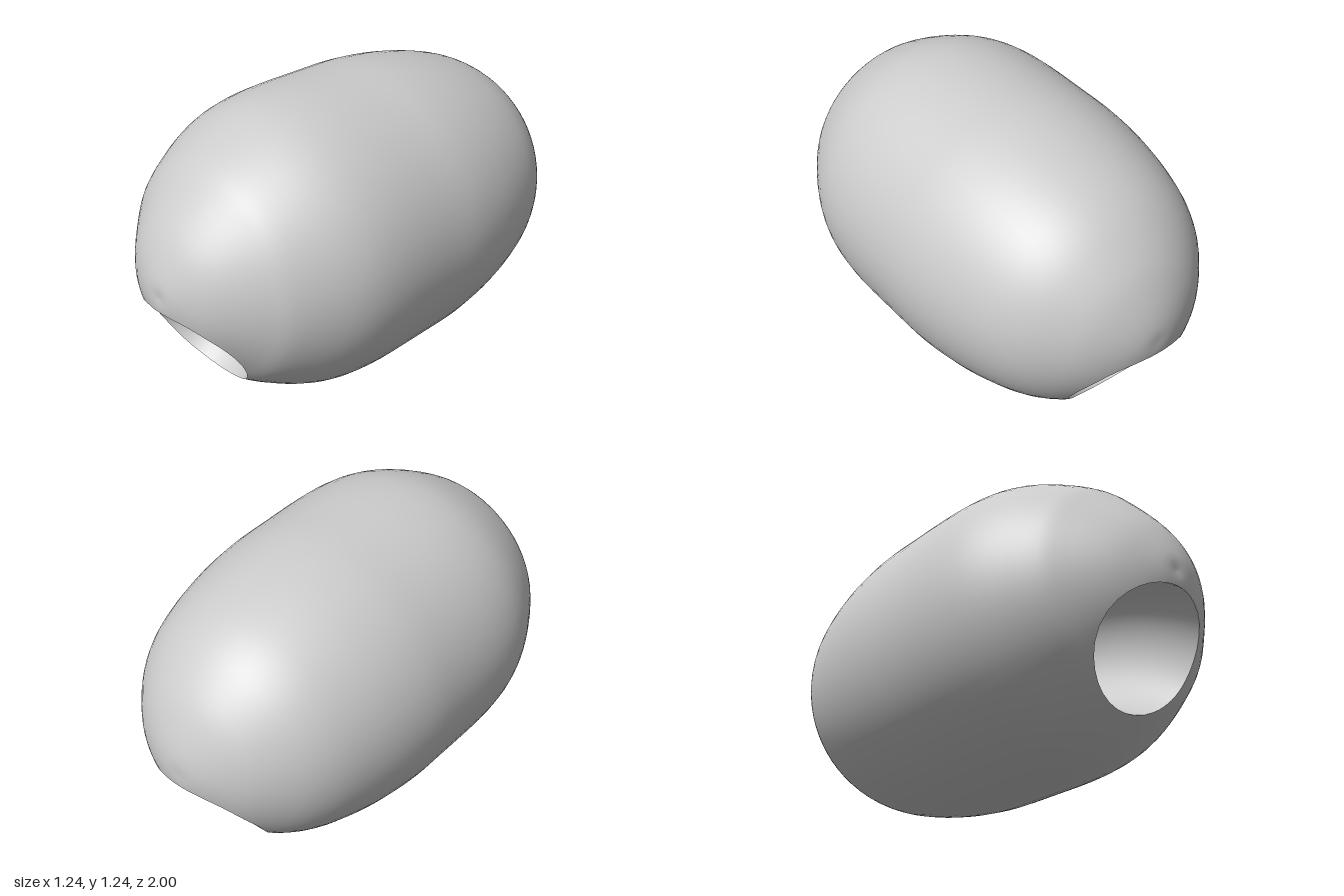
import * as THREE from 'three';
import { ParametricGeometry } from 'three/addons/geometries/ParametricGeometry.js';

const HOLE = 0.255;   // radius of the bored hole
const BEND = 1.457;   // radius of the arc the hole follows
const TILT = 0.022;   // slight lift of the front end

// Half outline of the bead: radius, position along the axis
const outline = new THREE.SplineCurve([
  [0, -1], [0.07, -0.997], [0.17, -0.965], [0.29, -0.9], [0.4, -0.8], [0.475, -0.7],
  [0.53, -0.58], [0.58, -0.4], [0.61, -0.2], [0.617, 0], [0.617, 0.3], [0.58, 0.5],
  [0.48, 0.7], [0.392, 0.8], [0.235, 0.93], [0.08, 0.997], [0, 1],
].map(([r, s]) => new THREE.Vector2(r, s))).getPoints(64);
outline[0].x = outline[outline.length - 1].x = 0;

// Radius of the bead at a point on its axis
function radiusAt(z) {
  for (let i = 1; i < outline.length; i++) {
    const a = outline[i - 1], b = outline[i];
    if (z >= a.y && z <= b.y) return a.x + (b.x - a.x) * (z - a.y) / (b.y - a.y || 1);
  }
  return -1;
}

// Signed distance from the wall of the arched hole (negative inside it)
const holeDistance = (p) => Math.hypot(Math.hypot(p.y + BEND, p.z) - BEND, p.x) - HOLE;

// Point on the wall of the hole: phi around it, t along its arc
function wallPoint(phi, t, target) {
  const rad = BEND + HOLE * Math.cos(phi);
  return target.set(HOLE * Math.sin(phi), rad * Math.cos(t) - BEND, rad * Math.sin(t));
}

// Arc angle at which the wall leaves the bead, towards the front (1) or back (-1)
function exitAngle(phi, side) {
  const p = new THREE.Vector3();
  let inside = 0, outside = 0.9;
  for (let i = 0; i < 24; i++) {
    const mid = (inside + outside) / 2;
    wallPoint(phi, side * mid, p);
    if (Math.hypot(p.x, p.y) < radiusAt(p.z)) inside = mid;
    else outside = mid;
  }
  return side * inside;
}

// Outer shell: a turned body whose triangles are trimmed along the hole
function shellGeometry() {
  const body = new THREE.LatheGeometry(outline, 64).rotateX(Math.PI / 2).toNonIndexed();
  const pos = body.attributes.position, nor = body.attributes.normal;
  const positions = [], normals = [];
  const emit = (v) => {
    positions.push(v.p.x, v.p.y, v.p.z);
    normals.push(v.n.x, v.n.y, v.n.z);
  };
  for (let i = 0; i < pos.count; i += 3) {
    const corners = [0, 1, 2].map((k) => {
      const p = new THREE.Vector3().fromBufferAttribute(pos, i + k);
      return { p, n: new THREE.Vector3().fromBufferAttribute(nor, i + k), d: holeDistance(p) };
    });
    const kept = [];
    corners.forEach((a, k) => {
      const b = corners[(k + 1) % 3];
      if (a.d >= 0) kept.push(a);
      if ((a.d >= 0) !== (b.d >= 0)) {
        const f = a.d / (a.d - b.d);
        kept.push({ p: a.p.clone().lerp(b.p, f), n: a.n.clone().lerp(b.n, f).normalize() });
      }
    });
    for (let k = 2; k < kept.length; k++) [kept[0], kept[k - 1], kept[k]].forEach(emit);
  }
  const geometry = new THREE.BufferGeometry();
  geometry.setAttribute('position', new THREE.Float32BufferAttribute(positions, 3));
  geometry.setAttribute('normal', new THREE.Float32BufferAttribute(normals, 3));
  return geometry;
}

// Inner wall of the hole, ending exactly on the outer shell
function wallGeometry() {
  return new ParametricGeometry((u, v, target) => {
    const phi = u * Math.PI * 2;
    wallPoint(phi, THREE.MathUtils.lerp(exitAngle(phi, -1), exitAngle(phi, 1), v), target);
  }, 64, 32);
}

export function createModel() {
  const material = new THREE.MeshStandardMaterial({ color: 0xcccccc });
  const bead = new THREE.Group();
  bead.name = 'bead';
  const addPart = (name, geometry) => {
    const mesh = new THREE.Mesh(geometry, material);
    mesh.name = name;
    bead.add(mesh);
  };
  addPart('outerShell', shellGeometry());
  addPart('holeWall', wallGeometry());
  bead.rotation.x = -TILT;
  bead.position.y = 0.625;

  const model = new THREE.Group();
  model.add(bead);
  return model;
}
